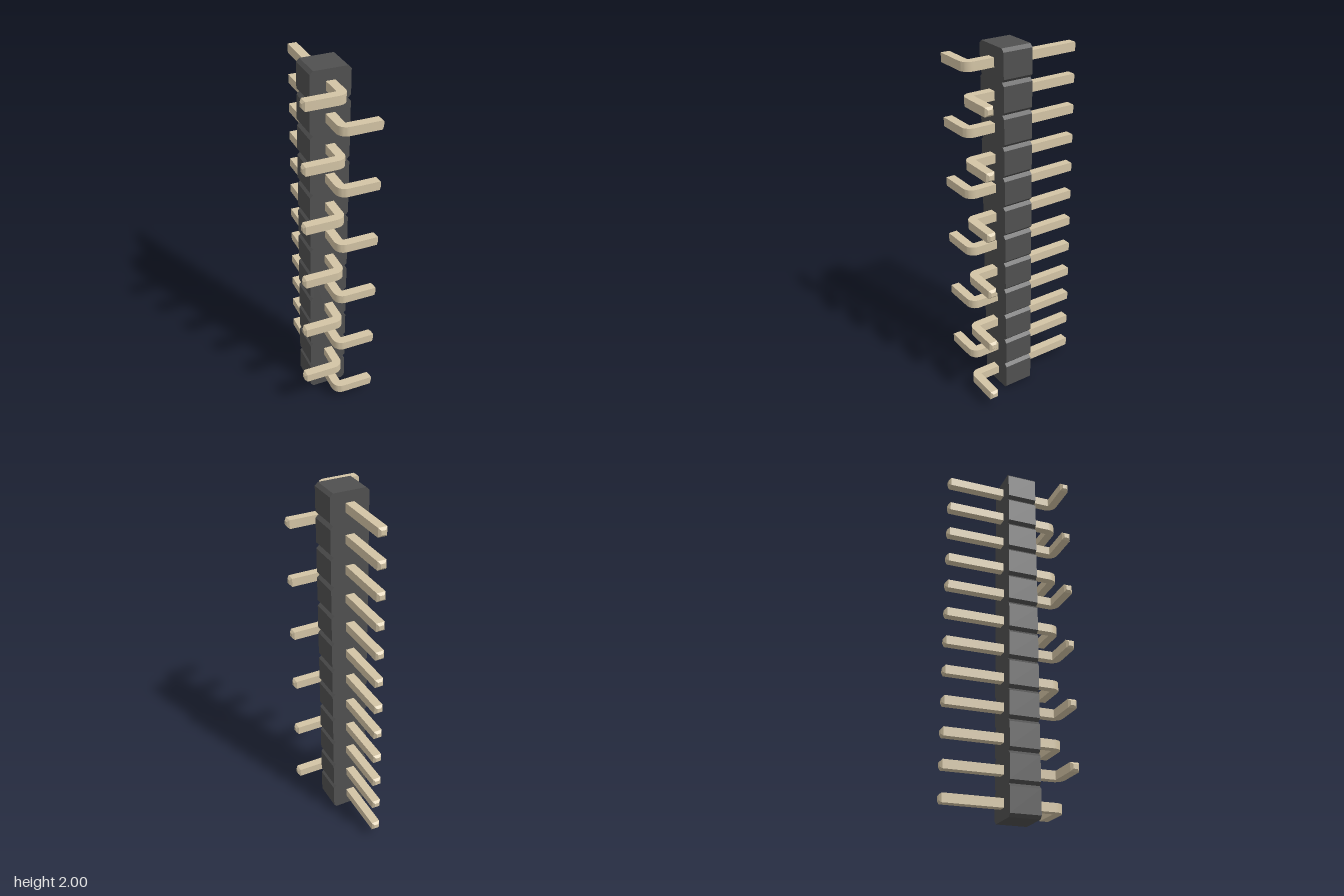
import * as THREE from 'three';
import { toCreasedNormals } from 'three/addons/utils/BufferGeometryUtils.js';

const COUNT = 12;
const PITCH = 2 / COUNT;
const W = 0.024; // half thickness of a pin
const REACH = 0.333; // pin ends in z
const SIDE = 0.208; // bent leg end in x
const CHAMFER = 0.012;

// Insulating strip: one chamfered outline with a V notch between neighbouring cells
function housingGeometry() {
  const half = 0.106, c = 0.017, depth = 0.166;
  const right = [];
  for (let i = 0; i < COUNT; i++) {
    const y0 = i * PITCH, y1 = y0 + PITCH;
    right.push([half - c, y0], [half, y0 + c], [half, y1 - c]);
  }
  right.push([half - c, 2]);
  const left = right.map(([x, y]) => [-x, y]).reverse();
  const shape = new THREE.Shape([...right, ...left].map(([x, y]) => new THREE.Vector2(x, y)));
  return new THREE.ExtrudeGeometry(shape, { depth, bevelEnabled: false });
}

// Square pin with tapered tips, bent towards +x, swept through cross-sections
function pinGeometry() {
  const sections = []; // inner x, inner z, outer x, outer z, half height
  const tip = W / 2;
  sections.push([tip, -REACH, -tip, -REACH, tip]);
  sections.push([W, -REACH + CHAMFER, -W, -REACH + CHAMFER, W]);
  const r = 0.004, R = r + 2 * W, px = W + r, pz = REACH - R;
  const steps = 8;
  for (let i = 0; i <= steps; i++) {
    const t = (i / steps) * Math.PI / 2, cx = -Math.cos(t), sz = Math.sin(t);
    sections.push([px + r * cx, pz + r * sz, px + R * cx, pz + R * sz, W]);
  }
  const mid = REACH - W;
  sections.push([SIDE - CHAMFER, mid - W, SIDE - CHAMFER, mid + W, W]);
  sections.push([SIDE, mid - tip, SIDE, mid + tip, tip]);

  const positions = [], index = [];
  for (const [ax, az, bx, bz, h] of sections) {
    positions.push(ax, -h, az, ax, h, az, bx, h, bz, bx, -h, bz);
  }
  const last = (sections.length - 1) * 4;
  for (let i = 0; i < last; i += 4) {
    for (let k = 0; k < 4; k++) {
      const n = (k + 1) % 4;
      index.push(i + k, i + n, i + 4 + n, i + k, i + 4 + n, i + 4 + k);
    }
  }
  index.push(0, 2, 1, 0, 3, 2, last, last + 1, last + 2, last, last + 2, last + 3);

  const geometry = new THREE.BufferGeometry();
  geometry.setAttribute('position', new THREE.Float32BufferAttribute(positions, 3));
  geometry.setIndex(index);
  return toCreasedNormals(geometry, 0.4);
}

export function createModel() {
  const model = new THREE.Group();
  model.name = 'pinHeader';

  const plastic = new THREE.MeshStandardMaterial({ color: 0x505050 });
  const metal = new THREE.MeshStandardMaterial({ color: 0xd3c4a5 });

  const housing = new THREE.Mesh(housingGeometry(), plastic);
  housing.name = 'housing';
  model.add(housing);

  // Pins alternate left and right, starting with +x at the bottom
  const geometry = pinGeometry();
  for (let i = 0; i < COUNT; i++) {
    const pin = new THREE.Mesh(geometry, metal);
    pin.name = i % 2 === 0 ? 'leftPin' : 'rightPin';
    pin.position.y = (i + 0.5) * PITCH;
    if (i % 2) pin.rotation.z = Math.PI;
    model.add(pin);
  }
  return model;
}
